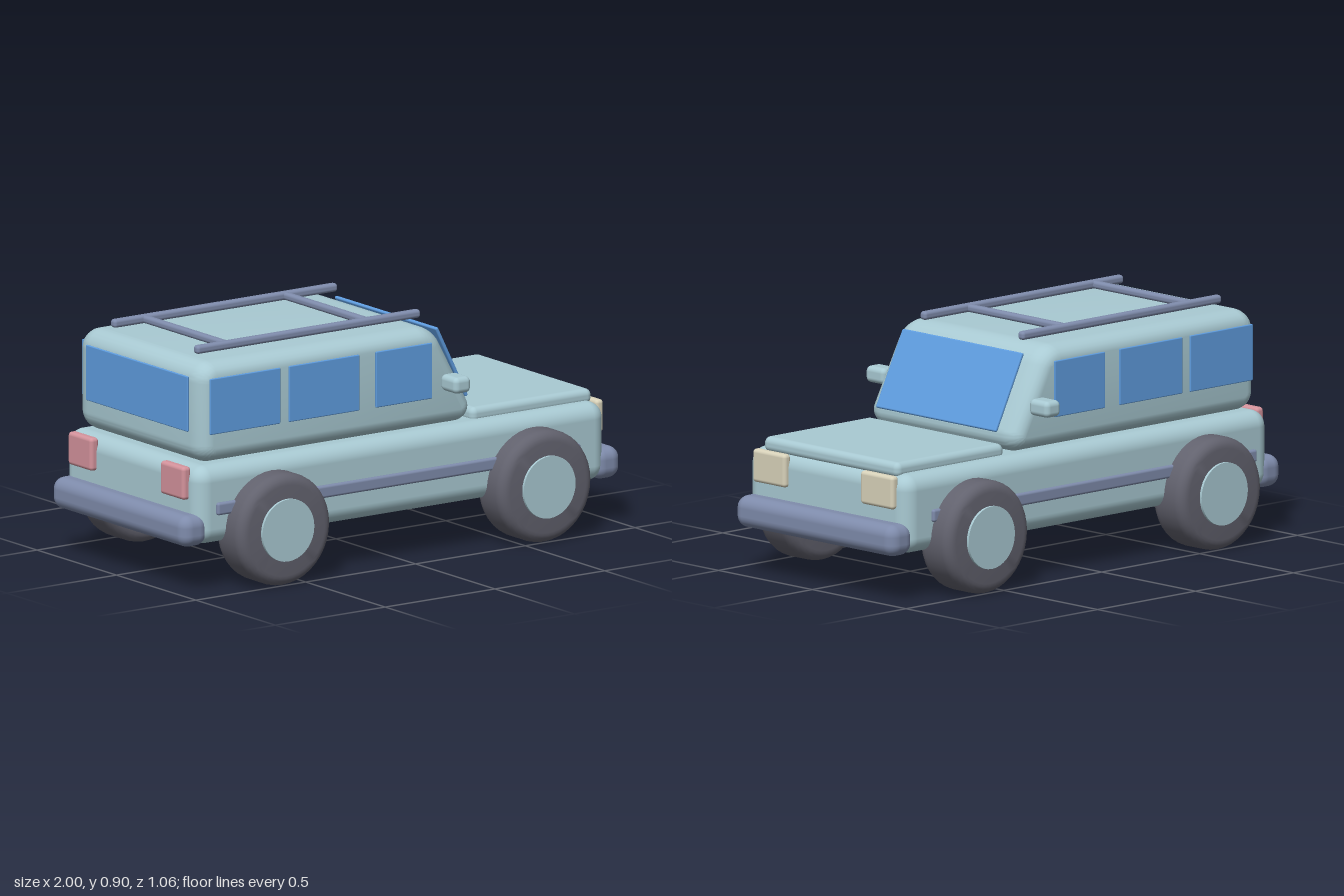
import * as THREE from 'three';
import { toCreasedNormals } from 'three/addons/utils/BufferGeometryUtils.js';
import { RoundedBoxGeometry } from 'three/addons/geometries/RoundedBoxGeometry.js';

const material = (name, color) => {
  const m = new THREE.MeshStandardMaterial({ color });
  m.name = name;
  return m;
};

// Convex polygon (counter-clockwise corners [x, y, radius]) with rounded corners
function roundedPolygon(corners) {
  const shape = new THREE.Shape();
  const n = corners.length;
  corners.forEach(([x, y, r], i) => {
    const p = new THREE.Vector2(x, y);
    const a = new THREE.Vector2(...corners[(i + n - 1) % n].slice(0, 2));
    const b = new THREE.Vector2(...corners[(i + 1) % n].slice(0, 2));
    const inDir = p.clone().sub(a).normalize();
    const outDir = b.sub(p).normalize();
    const half = (Math.PI - Math.acos(inDir.dot(outDir))) / 2;
    const bisector = outDir.clone().sub(inDir).normalize();
    const c = p.addScaledVector(bisector, r / Math.sin(half));
    shape.absarc(c.x, c.y, r, Math.atan2(-inDir.x, inDir.y), Math.atan2(-outDir.x, outDir.y), false);
  });
  return shape;
}

export function createModel() {
  const car = new THREE.Group();
  car.name = 'offRoadCar';

  const paint = material('paleBluePaint', 0xa9cad3);
  const glass = material('blueGlass', 0x5f9de0);
  const rubber = material('darkRubber', 0x62626e);
  const trim = material('slateTrim', 0x7f8cac);
  const lamp = material('creamLamp', 0xd8d2ba);
  const tailLamp = material('pinkTailLamp', 0xd4939c);

  const add = (name, geometry, mat, x = 0, y = 0, z = 0) => {
    const mesh = new THREE.Mesh(geometry, mat);
    mesh.name = name;
    mesh.position.set(x, y, z);
    car.add(mesh);
    return mesh;
  };
  // Rounded box given by its extents on each axis
  const box = (name, mat, [x0, x1], [y0, y1], [z0, z1], radius, segments = 4) =>
    add(name, new RoundedBoxGeometry(x1 - x0, y1 - y0, z1 - z0, segments, radius), mat,
      (x0 + x1) / 2, (y0 + y1) / 2, (z0 + z1) / 2);

  // Lower body and bonnet
  box('lowerBody', paint, [-0.935, 0.93], [0.175, 0.472], [-0.427, 0.427], 0.06, 5);
  box('bonnet', paint, [0.36, 0.91], [0.455, 0.513], [-0.36, 0.36], 0.024);

  // Cabin with sloping front, bevelled along both sides
  const bevel = 0.055, depth = 0.075, halfWidth = 0.395;
  const profile = roundedPolygon([
    [-0.9, 0.472, 0.07], [0.385, 0.472, 0.06], [0.178, 0.853, 0.12], [-0.9, 0.853, 0.075],
  ]);
  const cabin = new THREE.ExtrudeGeometry(profile, {
    depth: 2 * (halfWidth - depth), bevelEnabled: true, bevelSize: bevel, bevelOffset: -bevel,
    bevelThickness: depth, bevelSegments: 6, curveSegments: 8,
  });
  cabin.translate(0, 0, depth - halfWidth);
  add('cabin', toCreasedNormals(cabin, 0.7), paint);

  // Windscreen, standing just ahead of the slope
  const screen = add('windscreen', new RoundedBoxGeometry(0.014, 0.31, 0.64, 2, 0.006), glass, 0.297, 0.69, 0);
  screen.rotation.z = Math.atan2(0.135, 0.27);

  // Rear window
  box('rearWindow', glass, [-0.909, -0.9], [0.59, 0.8], [-0.32, 0.32], 0.004, 2);

  // Bumpers
  box('frontBumper', trim, [0.88, 1], [0.175, 0.295], [-0.425, 0.425], 0.045);
  box('rearBumper', trim, [-1, -0.88], [0.175, 0.295], [-0.425, 0.425], 0.045);

  // Tyre section and wheel disc, turned about z
  const tyrePoints = [new THREE.Vector2(0, -0.085)];
  for (const side of [-1, 1]) {
    for (let i = 0; i <= 6; i++) {
      const a = (side < 0 ? -1 + i / 6 : i / 6) * Math.PI / 2;
      tyrePoints.push(new THREE.Vector2(0.172 + 0.04 * Math.cos(a), side * 0.045 + 0.04 * Math.sin(a)));
    }
  }
  tyrePoints.push(new THREE.Vector2(0, 0.085));
  const tyreGeometry = toCreasedNormals(new THREE.LatheGeometry(tyrePoints, 40).rotateX(Math.PI / 2), 0.7);
  const hubGeometry = new THREE.CylinderGeometry(0.118, 0.118, 0.182, 36).rotateX(Math.PI / 2);

  // Parts mirrored on both sides
  for (const s of [1, -1]) {
    const span = (a, b) => (s > 0 ? [a, b] : [-b, -a]);
    const side = s > 0 ? 'right' : 'left';

    for (const [place, x] of [['Front', 0.59], ['Rear', -0.6]]) {
      add(`${side}${place}Tyre`, tyreGeometry, rubber, x, 0.212, s * 0.435);
      add(`${side}${place}Hub`, hubGeometry, paint, x, 0.215, s * 0.439);
    }

    [[-0.865, -0.545], [-0.505, -0.185], [-0.11, 0.147]].forEach((xs, i) =>
      box(`${side}Window${i + 1}`, glass, xs, [0.588, 0.8], span(0.396, 0.405), 0.004, 2));

    box(`${side}SideTrim`, trim, [-0.855, 0.8], [0.287, 0.335], span(0.41, 0.44), 0.01, 2);
    box(`${side}Mirror`, paint, [0.192, 0.267], [0.61, 0.672], span(0.385, 0.487), 0.02);
    box(`${side}Headlight`, lamp, [0.915, 0.95], [0.345, 0.47], span(0.2, 0.375), 0.014);
    box(`${side}TailLight`, tailLamp, [-0.96, -0.922], [0.345, 0.47], span(0.215, 0.365), 0.014);
    box(`${side}RoofRail`, trim, [-0.83, 0.188], [0.864, 0.896], span(0.245, 0.277), 0.012);
  }

  // Roof rack crossbars
  for (const x of [-0.685, -0.045]) {
    box('roofCrossbar', trim, [x - 0.015, x + 0.015], [0.865, 0.894], [-0.275, 0.275], 0.012);
  }

  return car;
}
